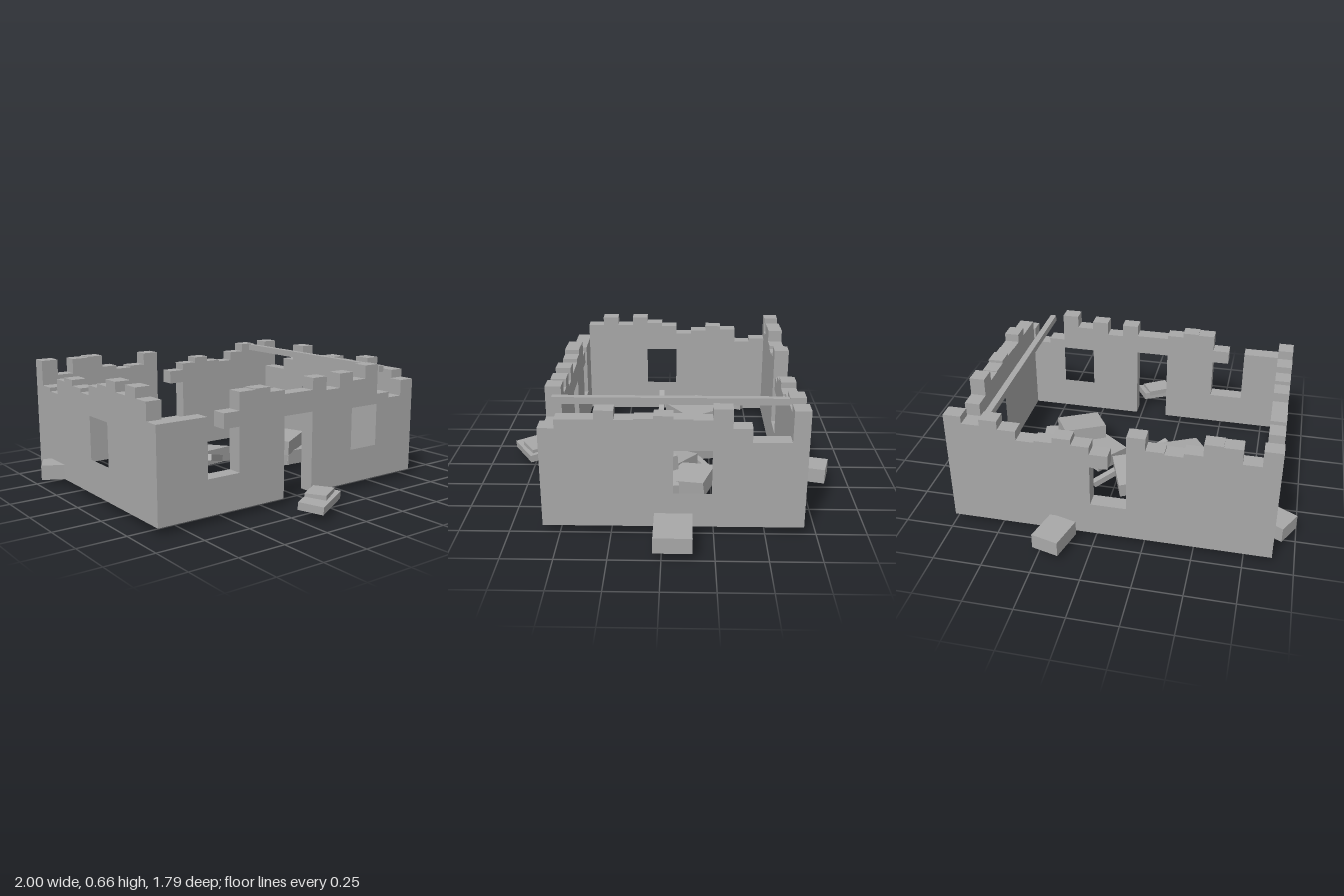
import * as THREE from 'three';

const BASE = 0.04, THICK = 0.08, SILL = 0.22, HEAD = 0.445;

export function createModel() {
  const model = new THREE.Group();
  model.name = 'ruinedHouse';
  const stone = new THREE.MeshStandardMaterial({ color: 0xa8a8a8, flatShading: true });
  stone.name = 'grey stone';

  const add = (name, geometry, x, y, z, rx = 0, ry = 0, rz = 0) => {
    const mesh = new THREE.Mesh(geometry, stone);
    mesh.name = name;
    mesh.position.set(x, y, z);
    mesh.rotation.set(rx, ry, rz, 'YXZ');
    model.add(mesh);
    return mesh;
  };

  // A wall with a crumbling stepped top. The entry 'gap' is a window two steps wide
  // whose head is broken away, leaving a stub of lintel on its far side.
  const wallGeometry = (step, tops, windowAt, doorAt) => {
    const pts = [[0, BASE]];
    let i = 0;
    for (const top of tops) {
      if (top === 'gap') {
        pts.push([i, SILL], [i + 2, SILL], [i + 2, HEAD], [i + 1, HEAD], [i + 1, 0.52], [i + 2, 0.52]);
        i += 2;
      } else {
        pts.push([i, top], [i + 1, top]);
        i += 1;
      }
    }
    pts.push([i, BASE]);
    if (doorAt !== undefined) {
      pts.push([doorAt + 2, BASE], [doorAt + 2, 0.46], [doorAt, 0.46], [doorAt, BASE]);
    }
    const toPoints = list => list.map(([u, y]) => new THREE.Vector2(u * step, y));
    const shape = new THREE.Shape(toPoints(pts));
    if (windowAt !== undefined) {
      const w = windowAt;
      shape.holes.push(new THREE.Path(toPoints([[w, SILL], [w, HEAD], [w + 2, HEAD], [w + 2, SILL]])));
    }
    return new THREE.ExtrudeGeometry(shape, { depth: THICK, bevelEnabled: false });
  };

  // Long walls run left to right, short walls run from front to back
  const longStep = 1.64 / 18, shortStep = 1.115 / 12;
  add('frontWall', wallGeometry(longStep,
    [0.515, 0.515, 0.515, 'gap', 0.61, 0.615, 0.59, 0.57, 0.57, 0.63, 0.56, 0.635, 0.59, 0.66, 0.5, 0.47, 0.555],
    13, 8), -0.89, 0, 0.505);
  add('backWall', wallGeometry(longStep,
    [0.655, 0.57, 0.65, 0.655, 0.59, 0.57, 0.58, 0.645, 'gap', 0.56, 0.59, 0.56, 0.55, 0.6, 0.645, 0.61, 0.65]),
    -0.89, 0, -0.69);
  add('rightSideWall', wallGeometry(shortStep,
    [0.605, 0.655, 0.605, 0.655, 0.62, 0.6, 0.55, 0.57, 0.6, 0.58, 0.5, 0.52], 4),
    -0.89, 0, 0.505, 0, Math.PI / 2);
  add('leftSideWall', wallGeometry(shortStep,
    [0.6, 0.6, 0.645, 0.6, 0.605, 0.62, 0.605, 0.6, 0.655, 0.56, 0.49, 0.49], 6),
    0.67, 0, 0.505, 0, Math.PI / 2);

  // Beams given by their two ends
  const beam = (name, a, b) => {
    const from = new THREE.Vector3(...a), to = new THREE.Vector3(...b);
    const dir = to.clone().sub(from);
    const mid = from.clone().add(to).multiplyScalar(0.5);
    const mesh = add(name, new THREE.BoxGeometry(dir.length(), 0.035, 0.033), mid.x, mid.y, mid.z);
    mesh.rotation.set(0, Math.atan2(-dir.z, dir.x), Math.atan2(dir.y, Math.hypot(dir.x, dir.z)), 'YXZ');
  };
  beam('roofBeam', [0.55, 0.622, 0.54], [0.55, 0.622, -0.61]);
  beam('fallenBeam', [-0.675, 0.2, 0.037], [-0.192, 0.02, 0.037]);
  beam('fallenBeam', [-0.245, 0.15, 0.048], [0.115, 0.02, -0.26]);

  // Fallen blocks: name, size, position, rotation
  const blocks = [
    ['rubbleSlab', [0.33, 0.08, 0.26], [-0.41, 0.09, -0.18], [0.06, -0.76, 0.06]],
    ['rubbleSlab', [0.40, 0.08, 0.25], [-0.2, 0.1, -0.18], [-0.08, 0.36, -0.08]],
    ['rubbleSlab', [0.30, 0.08, 0.22], [-0.34, 0.2, -0.165], [0.06, 0.53, 0.05]],
    ['rubbleSlab', [0.30, 0.08, 0.21], [0.165, 0.09, -0.01], [0.06, -0.6, 0.06]],
    ['rubbleSlab', [0.20, 0.08, 0.24], [0.335, 0.09, -0.13], [0.1, -0.36, -0.08]],
    ['rubbleSlab', [0.27, 0.08, 0.20], [0.34, 0.085, 0.04], [0, 0.16, -0.08]],
    ['rubbleSlab', [0.24, 0.08, 0.17], [0.26, 0.17, 0.06], [0.06, 0.53, 0.04]],
    ['looseBlock', [0.235, 0.08, 0.185], [0.882, 0.08, -0.053], [0, 0, 0]],
    ['looseBlock', [0.145, 0.08, 0.185], [0.185, 0.08, -0.79], [0, -0.26, 0]],
    ['looseBlock', [0.18, 0.08, 0.14], [-0.885, 0.08, -0.455], [0, -0.5, 0]],
    ['looseBlock', [0.26, 0.04, 0.13], [-0.087, 0.065, 0.768], [0.08, 0.51, 0.03]],
    ['looseBlock', [0.145, 0.03, 0.11], [-0.067, 0.09, 0.745], [0, 0.55, 0]],
  ];
  for (const [name, size, pos, rot] of blocks) {
    add(name, new THREE.BoxGeometry(...size), ...pos, ...rot);
  }
  return model;
}
